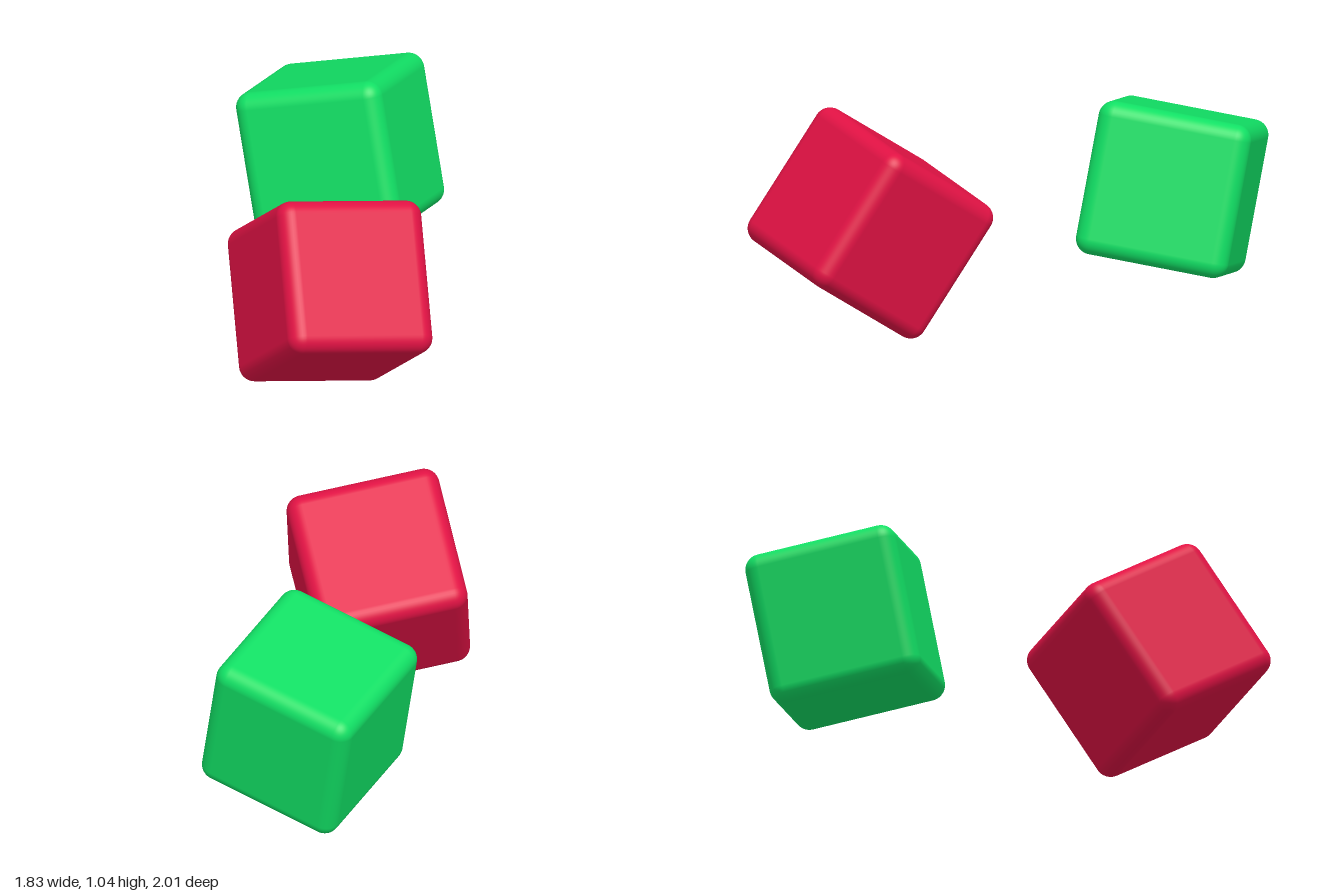
import * as THREE from 'three';
import { RoundedBoxGeometry } from 'three/addons/geometries/RoundedBoxGeometry.js';

const SIZE = 0.69;
const RADIUS = 0.07;

// A tumbled rounded cube, oriented by the directions of its own right and up edges.
function tumbledCube(name, material, center, right, up) {
  const x = new THREE.Vector3(...right).normalize();
  const z = new THREE.Vector3().crossVectors(x, new THREE.Vector3(...up)).normalize();
  const y = new THREE.Vector3().crossVectors(z, x);
  const cube = new THREE.Mesh(new RoundedBoxGeometry(SIZE, SIZE, SIZE, 6, RADIUS), material);
  cube.name = name;
  cube.quaternion.setFromRotationMatrix(new THREE.Matrix4().makeBasis(x, y, z));
  cube.position.set(...center);
  return cube;
}

export function createModel() {
  const red = new THREE.MeshStandardMaterial({ color: 0xe11244 });
  red.name = 'crimson red';
  const green = new THREE.MeshStandardMaterial({ color: 0x11df64 });
  green.name = 'bright green';

  const model = new THREE.Group();
  model.name = 'tumblingCubes';
  model.add(
    // Front cube, tipped forward
    tumbledCube('redCube', red, [-0.457, 0.488, 0.483], [0.931, -0.143, 0.335], [0.297, 0.826, -0.479]),
    // Rear cube, leaning back
    tumbledCube('greenCube', green, [0.46, 0.607, -0.5], [0.859, -0.15, -0.49], [0.02, 0.964, -0.264])
  );
  return model;
}
